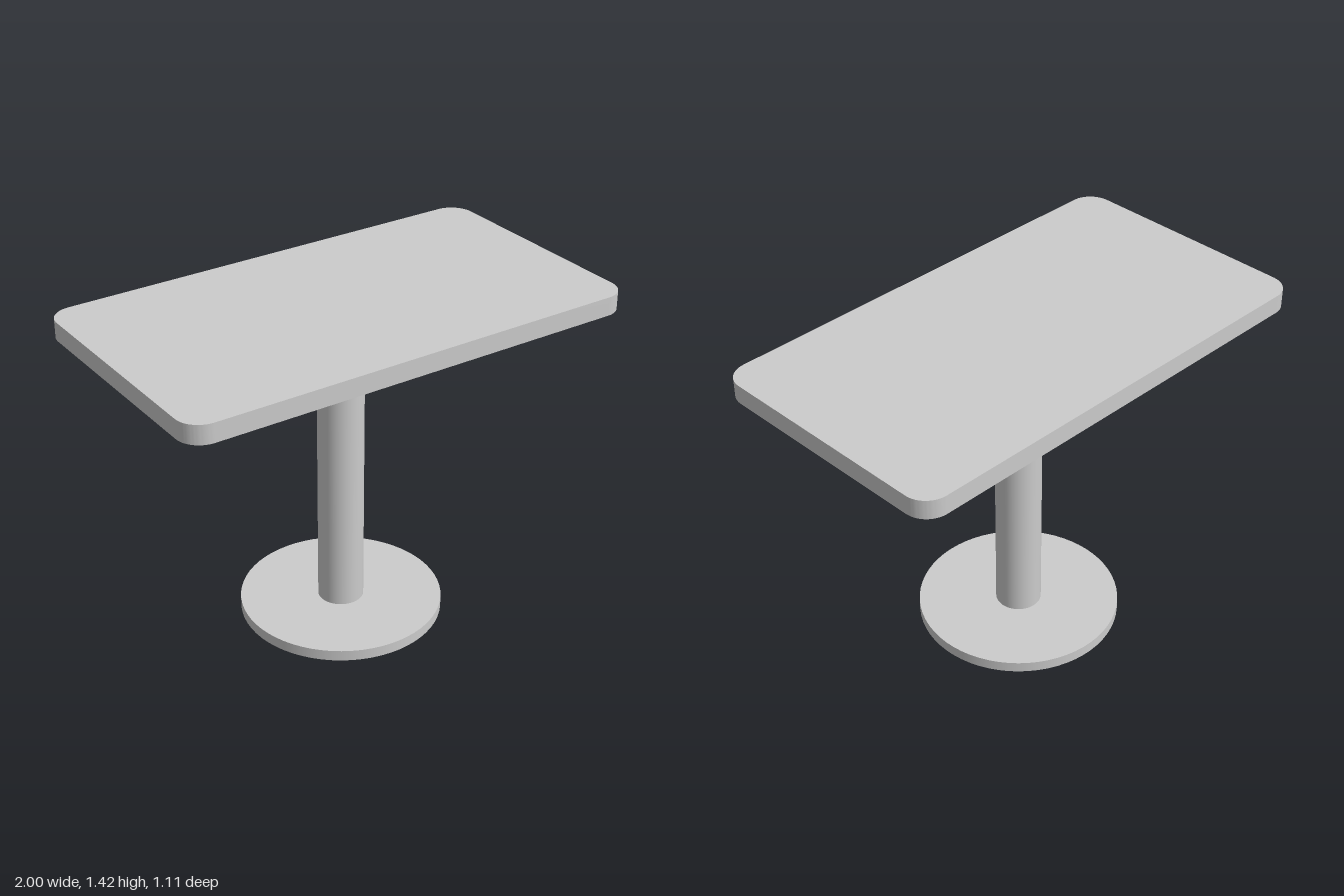
import * as THREE from 'three';
import { toCreasedNormals } from 'three/addons/utils/BufferGeometryUtils.js';

const BASE_HEIGHT = 0.047;
const TOP_BOTTOM = 1.337;
const TOP_THICKNESS = 0.08;

// Rounded rectangle centred on the origin
function roundedRect(halfX, halfY, r) {
  const s = new THREE.Shape();
  s.absarc(halfX - r, halfY - r, r, 0, Math.PI / 2);
  s.absarc(-halfX + r, halfY - r, r, Math.PI / 2, Math.PI);
  s.absarc(-halfX + r, -halfY + r, r, Math.PI, Math.PI * 1.5);
  s.absarc(halfX - r, -halfY + r, r, Math.PI * 1.5, Math.PI * 2);
  s.closePath();
  return s;
}

export function createModel() {
  const group = new THREE.Group();
  group.name = 'pedestalTable';
  const material = new THREE.MeshStandardMaterial({ color: 0xcccccc });

  function addPart(name, geometry, y) {
    const mesh = new THREE.Mesh(geometry, material);
    mesh.name = name;
    mesh.position.y = y;
    group.add(mesh);
  }

  // Round foot plate
  addPart('base', new THREE.CylinderGeometry(0.43, 0.43, BASE_HEIGHT, 64), BASE_HEIGHT / 2);

  // Central column between foot plate and top
  const columnHeight = TOP_BOTTOM - BASE_HEIGHT;
  addPart('column', new THREE.CylinderGeometry(0.097, 0.097, columnHeight, 48), BASE_HEIGHT + columnHeight / 2);

  // Table top: rounded rectangle with crisp upper and lower edges
  const top = new THREE.ExtrudeGeometry(roundedRect(1, 0.557, 0.1), {
    depth: TOP_THICKNESS,
    bevelEnabled: false,
    curveSegments: 12,
  });
  top.rotateX(-Math.PI / 2);
  addPart('tableTop', toCreasedNormals(top, Math.PI / 6), TOP_BOTTOM);

  return group;
}
